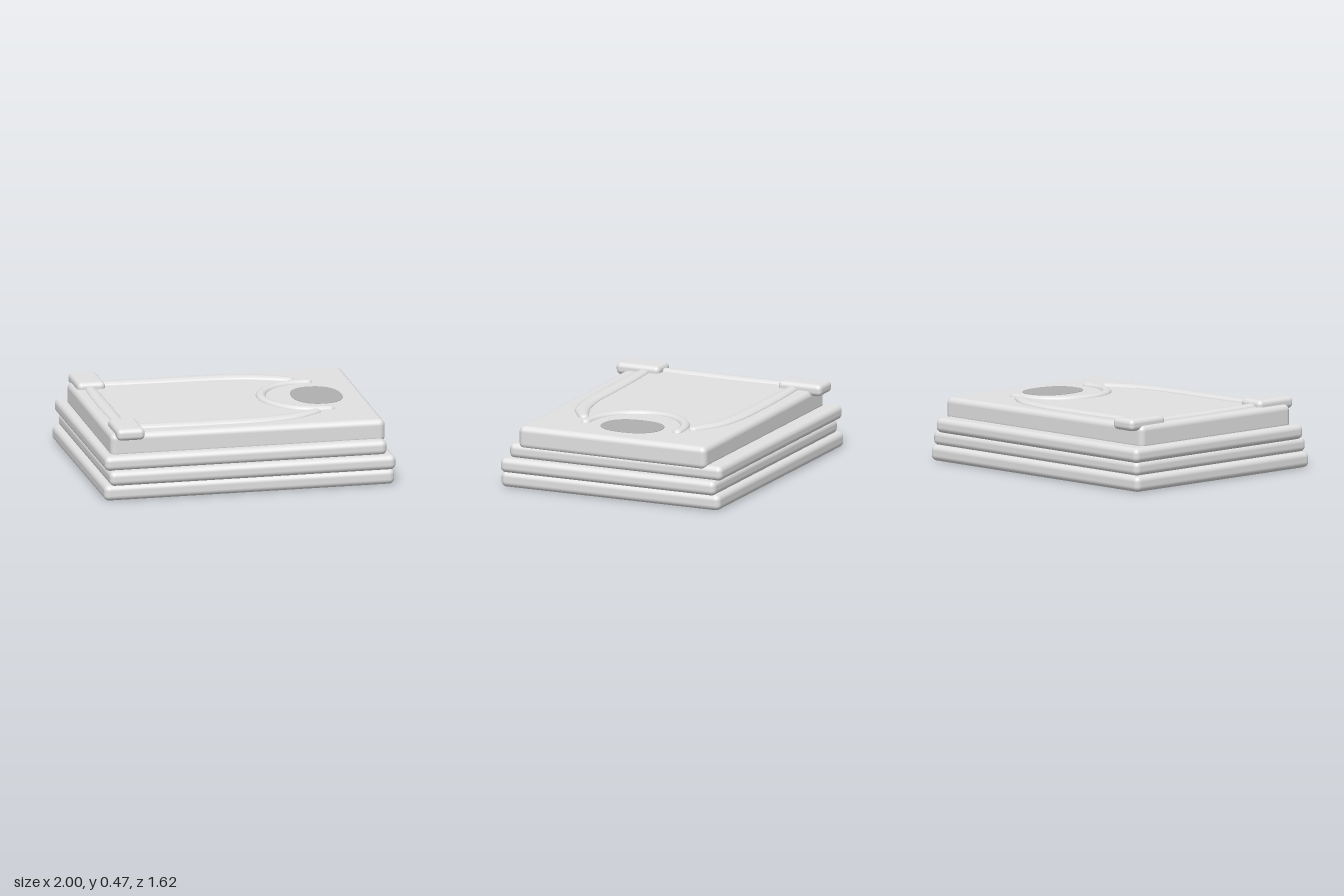
import * as THREE from 'three';
import { RoundedBoxGeometry } from 'three/addons/geometries/RoundedBoxGeometry.js';

const fabric = new THREE.MeshStandardMaterial({ color: 0xe1e1e1 });
fabric.name = 'lightGreyFabric';
const patch = new THREE.MeshStandardMaterial({ color: 0xb0b0b0 });
patch.name = 'darkGreyPatch';

const MID_Z = -0.007; // symmetry line of the folded garment
const topY = (x) => 0.43 - 0.006 * x; // gently sloping top surface

// Soft-edged slab given by its extents [min, max] on each axis
function slab(name, [x0, x1], [y0, y1], [z0, z1], radius, shear = 0, slope = 0) {
  const g = new RoundedBoxGeometry(x1 - x0, y1 - y0, z1 - z0, 5, radius);
  const p = g.attributes.position;
  for (let i = 0; i < p.count; i++) {
    const x = p.getX(i), y = p.getY(i);
    p.setX(i, x + shear * p.getZ(i));
    if (y > 0) p.setY(i, y + slope * x);
  }
  const m = new THREE.Mesh(g, fabric);
  m.name = name;
  m.position.set((x0 + x1) / 2, (y0 + y1) / 2, (z0 + z1) / 2);
  return m;
}

// Flattened cord with rounded ends lying along a curve; widths are half-widths
function cord(name, curve, widths, height, lift) {
  const N = 64, S = 16, length = curve.getLength();
  const pos = [], index = [];
  for (let i = 0; i <= N; i++) {
    const t = (1 - Math.cos((Math.PI * i) / N)) / 2; // stations crowd at the ends
    const c = curve.getPointAt(t), d = curve.getTangentAt(t);
    const k = t * (widths.length - 1), a = Math.min(Math.floor(k), widths.length - 2);
    const w = THREE.MathUtils.lerp(widths[a], widths[a + 1], k - a);
    const end = Math.min(1, (Math.min(t, 1 - t) * length) / w);
    const cap = Math.max(0.001, Math.sqrt(Math.max(0, 1 - (1 - end) ** 2)));
    for (let j = 0; j < S; j++) {
      const q = (j / S) * Math.PI * 2;
      const side = Math.cos(q) * w * cap;
      pos.push(c.x - d.z * side, topY(c.x) + lift + Math.sin(q) * height * cap, c.z + d.x * side);
      if (i < N) {
        const j2 = (j + 1) % S, r = i * S, n = r + S;
        index.push(r + j, n + j, r + j2, r + j2, n + j, n + j2);
      }
    }
  }
  const g = new THREE.BufferGeometry();
  g.setAttribute('position', new THREE.Float32BufferAttribute(pos, 3));
  g.setIndex(index);
  g.computeVertexNormals();
  const m = new THREE.Mesh(g, fabric);
  m.name = name;
  return m;
}

const path = (pts) => new THREE.CatmullRomCurve3(pts.map(([x, z]) => new THREE.Vector3(x, 0, z)));

export function createModel() {
  const model = new THREE.Group();
  model.name = 'foldedStack';

  // Three folded layers, each a little out of line, and the thick top fold
  model.add(
    slab('bottomLayer', [-1, 0.988], [0.005, 0.112], [-0.81, 0.805], 0.038),
    slab('secondLayer', [-0.963, 0.996], [0.105, 0.205], [-0.78, 0.808], 0.038),
    slab('thirdLayer', [-0.985, 0.945], [0.198, 0.298], [-0.805, 0.763], 0.038),
    slab('topFold', [-0.928, 0.952], [0.268, 0.43], [-0.695, 0.692], 0.04, -0.006, -0.006),
  );

  // Sleeve seams and cuffs, mirrored front to back
  for (const [side, s] of [['back', -1], ['front', 1]]) {
    const pts = [[-0.74, 0.548], [-0.45, 0.549], [-0.2, 0.548], [0.15, 0.54], [0.35, 0.5], [0.47, 0.443], [0.565, 0.385]];
    model.add(cord(side + 'Seam', path(pts.map(([x, z]) => [x, MID_Z + s * z])),
      [0.038, 0.05, 0.055, 0.055, 0.054, 0.053, 0.034], 0.025, -0.003));
    const zs = [MID_Z + s * 0.438, MID_Z + s * 0.757].sort((a, b) => a - b);
    model.add(slab(side + 'Cuff', [-0.9, -0.71], [0.4, 0.48], zs, 0.032));
  }

  // Hem roll between the cuffs
  model.add(cord('hemRoll', path([[-0.815, -0.52], [-0.817, MID_Z], [-0.815, 0.5]]),
    [0.034, 0.044, 0.048, 0.044, 0.034], 0.025, -0.005));

  // Open neckline collar, running from back to front
  const collar = [[0.68, MID_Z - 0.338]];
  for (let i = 0; i <= 16; i++) {
    const a = Math.PI * (0.5 + i / 16);
    collar.push([0.61 + 0.352 * Math.cos(a), MID_Z - 0.338 * Math.sin(a)]);
  }
  collar.push([0.68, MID_Z + 0.338]);
  model.add(cord('collar', path(collar), [0.034, 0.034], 0.025, -0.004));

  // Thin oval patch inside the neckline, with slightly flattened sides
  const oval = new THREE.Shape();
  for (let i = 0; i < 64; i++) {
    const a = (i / 64) * Math.PI * 2, c = Math.cos(a), s = Math.sin(a);
    const x = 0.171 * Math.sign(c) * Math.abs(c) ** 0.88;
    const y = 0.216 * Math.sign(s) * Math.abs(s) ** 0.88;
    if (i) oval.lineTo(x, y); else oval.moveTo(x, y);
  }
  const plate = new THREE.ExtrudeGeometry(oval, { depth: 0.006, bevelEnabled: false });
  plate.rotateX(-Math.PI / 2);
  const neckPatch = new THREE.Mesh(plate, patch);
  neckPatch.name = 'neckPatch';
  neckPatch.position.set(0.632, topY(0.632) - 0.003, MID_Z);
  neckPatch.rotation.z = -0.006;
  model.add(neckPatch);

  return model;
}
